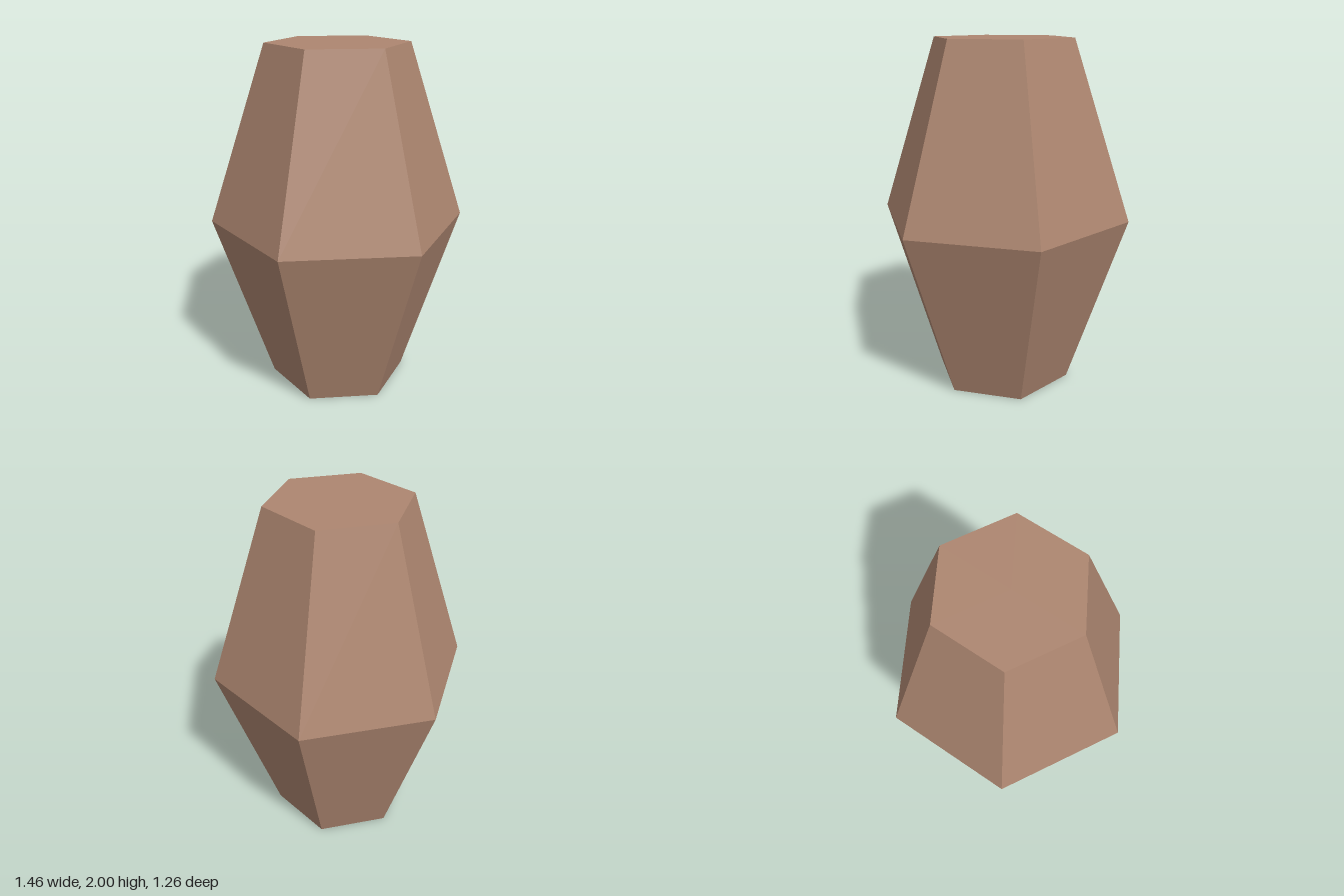
import * as THREE from 'three';

const END_RADIUS = 0.4;
const BELLY_RADIUS = 0.73;

export function createModel() {
  const group = new THREE.Group();
  group.name = 'hexagonalBarrel';

  const brown = new THREE.MeshStandardMaterial({ color: 0xad8670, flatShading: true });
  brown.name = 'warm brown';

  // Six-sided prism with corners on the x axis and a ring of vertices at mid height
  const geometry = new THREE.CylinderGeometry(END_RADIUS, END_RADIUS, 2, 6, 2, false, Math.PI / 2);

  // Push the middle ring out to form the belly
  const position = geometry.attributes.position;
  const swell = BELLY_RADIUS / END_RADIUS;
  for (let i = 0; i < position.count; i++) {
    if (Math.abs(position.getY(i)) < 0.01) {
      position.setX(i, position.getX(i) * swell);
      position.setZ(i, position.getZ(i) * swell);
    }
  }
  geometry.translate(0, 1, 0);
  geometry.computeVertexNormals();

  const body = new THREE.Mesh(geometry, brown);
  body.name = 'body';
  group.add(body);
  return group;
}
